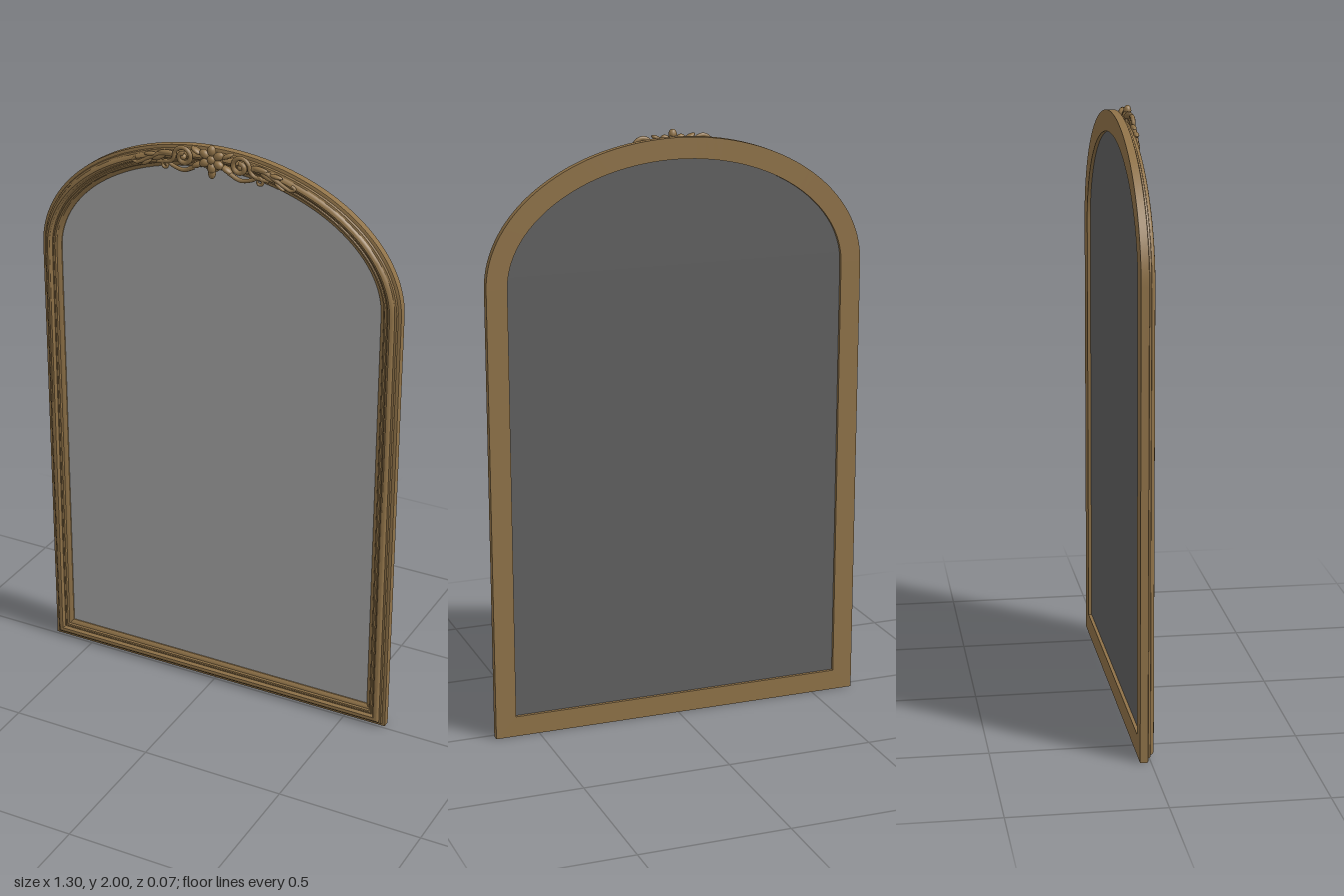
import * as THREE from 'three';
import { toCreasedNormals } from 'three/addons/utils/BufferGeometryUtils.js';

const HALF_W = 0.65, SPRING = 1.53, RISE = 0.45;

// Arched outline, moved inward by d, counterclockwise from the lower left
function outline(d, steps = 64) {
  const pts = [[-HALF_W + d, d], [HALF_W - d, d]];
  for (let i = 0; i <= steps; i++) {
    const a = (i / steps) * Math.PI, c = Math.cos(a), s = Math.sin(a);
    const nx = c / HALF_W, ny = s / RISE, n = Math.hypot(nx, ny);
    pts.push([HALF_W * c - (d * nx) / n, SPRING + RISE * s - (d * ny) / n]);
  }
  return pts;
}

// Moulding section: [distance from outer edge, z]
const SECTION = [
  [0, -0.035], [0, -0.01], [0.004, -0.008], [0.01, -0.008], [0.012, -0.001], [0.018, 0.001],
  [0.02, 0.007], [0.024, 0.011], [0.03, 0.013], [0.036, 0.011], [0.04, 0.006], [0.042, 0.001],
  [0.046, 0.001], [0.049, 0.004], [0.054, 0.003], [0.057, -0.003], [0.064, -0.006],
  [0.07, -0.012], [0.07, -0.035],
];

function sweepFrame() {
  const rows = SECTION.map(([d, z]) => outline(d).map(([x, y]) => [x, y, z]));
  const n = rows[0].length, pos = [], index = [];
  rows.forEach((r) => r.forEach((p) => pos.push(...p)));
  for (let j = 0; j < rows.length; j++) {
    const k = (j + 1) % rows.length;
    for (let i = 0; i < n; i++) {
      const m = (i + 1) % n;
      const a = j * n + i, b = j * n + m, c = k * n + i, d = k * n + m;
      index.push(a, b, c, b, d, c);
    }
  }
  const g = new THREE.BufferGeometry();
  g.setAttribute('position', new THREE.Float32BufferAttribute(pos, 3));
  g.setIndex(index);
  return toCreasedNormals(g, 0.5);
}

// Flat arched sheet
function sheet(d) {
  return new THREE.ShapeGeometry(new THREE.Shape(outline(d).map(([x, y]) => new THREE.Vector2(x, y))));
}

// Tube that narrows from r0 to r1 along its path
function taperedTube(points, r0, r1) {
  const curve = new THREE.CatmullRomCurve3(points);
  const steps = 48, sides = 8;
  const g = new THREE.TubeGeometry(curve, steps, 1, sides);
  const p = g.attributes.position, v = new THREE.Vector3();
  for (let i = 0; i < p.count; i++) {
    const t = Math.floor(i / (sides + 1)) / steps;
    const c = curve.getPointAt(t);
    v.fromBufferAttribute(p, i).sub(c).multiplyScalar(r0 + (r1 - r0) * t).add(c);
    p.setXYZ(i, v.x, v.y, v.z);
  }
  return g;
}

function spiral(s, cx, cy, r0, r1, a0, a1, z) {
  return Array.from({ length: 15 }, (_, i) => {
    const t = i / 14, a = a0 + (a1 - a0) * t, r = r0 + (r1 - r0) * t;
    return new THREE.Vector3(s * (cx + r * Math.cos(a)), cy + r * Math.sin(a), z);
  });
}

export function createModel() {
  const model = new THREE.Group();
  const gold = new THREE.MeshStandardMaterial({ color: 0x8f7248 });
  gold.name = 'antique gold';
  const silver = new THREE.MeshStandardMaterial({ color: 0xaaaaaa });
  silver.name = 'mirror silver';
  const grey = new THREE.MeshStandardMaterial({ color: 0x606060 });
  grey.name = 'backing grey';

  const add = (parent, name, geometry, material) => {
    const mesh = new THREE.Mesh(geometry, material);
    mesh.name = name;
    parent.add(mesh);
    return mesh;
  };

  add(model, 'frame', sweepFrame(), gold);
  add(model, 'mirrorGlass', sheet(0.068), silver).position.z = -0.016;
  const back = add(model, 'mirrorBacking', sheet(0.068), grey);
  back.rotation.y = Math.PI;
  back.position.z = -0.024;

  // Carved crest at the top of the arch
  const crest = new THREE.Group();
  crest.name = 'crest';
  model.add(crest);
  const ball = new THREE.SphereGeometry(1, 16, 10);
  const blob = (name, x, y, z, sx, sy, sz, angle = 0) => {
    const m = add(crest, name, ball, gold);
    m.position.set(x, y, z);
    m.scale.set(sx, sy, sz);
    m.rotation.z = angle;
  };

  // Flower with six petals and a stem leaf below
  for (let i = 0; i < 6; i++) {
    const a = Math.PI / 2 + (i * Math.PI) / 3;
    blob('petal', 0.029 * Math.cos(a), 1.953 + 0.029 * Math.sin(a), 0.02, 0.018, 0.014, 0.013, a);
  }
  blob('flowerCentre', 0, 1.953, 0.024, 0.014, 0.014, 0.011);
  blob('flowerBase', 0, 1.945, 0.012, 0.036, 0.036, 0.01);
  blob('lowerLeaf', 0, 1.908, 0.018, 0.013, 0.02, 0.012);

  for (const s of [1, -1]) {
    const V = (x, y, z) => new THREE.Vector3(s * x, y, z);
    // Large scroll curling beside the flower
    add(crest, 'largeScroll', taperedTube([
      V(0.2, 1.912, 0.013), V(0.17, 1.916, 0.016), V(0.145, 1.924, 0.018),
      ...spiral(s, 0.1, 1.945, 0.035, 0.009, -0.2, Math.PI * 2.6, 0.02),
    ], 0.006, 0.009), gold);
    blob('scrollEye', s * 0.1, 1.945, 0.02, 0.01, 0.01, 0.011);
    // Small curl under the arch
    add(crest, 'smallScroll', taperedTube([
      V(0.06, 1.918, 0.018), V(0.1, 1.9, 0.017), V(0.14, 1.908, 0.016),
      ...spiral(s, 0.166, 1.906, 0.015, 0.004, 2.2, -4.5, 0.016),
    ], 0.008, 0.005), gold);
    // Trailing stem and end curl
    add(crest, 'trailingStem', taperedTube([
      V(0.14, 1.945, 0.014), V(0.18, 1.942, 0.015), V(0.215, 1.925, 0.015),
      V(0.25, 1.905, 0.014), V(0.275, 1.895, 0.013), V(0.287, 1.902, 0.012), V(0.275, 1.911, 0.012),
    ], 0.009, 0.005), gold);
    // Leaves: x, y, half length, half width, angle
    for (const [x, y, l, w, a] of [
      [0.055, 1.972, 0.022, 0.008, 0.5], [0.052, 1.926, 0.022, 0.01, -0.5],
      [0.165, 1.947, 0.03, 0.009, -0.1], [0.19, 1.928, 0.028, 0.009, -0.45],
      [0.222, 1.933, 0.024, 0.007, -0.15], [0.235, 1.903, 0.022, 0.007, -0.6],
    ]) blob('leaf', s * x, y, 0.015, l, w, x < 0.1 ? 0.015 : 0.009, s * a);
  }
  return model;
}
